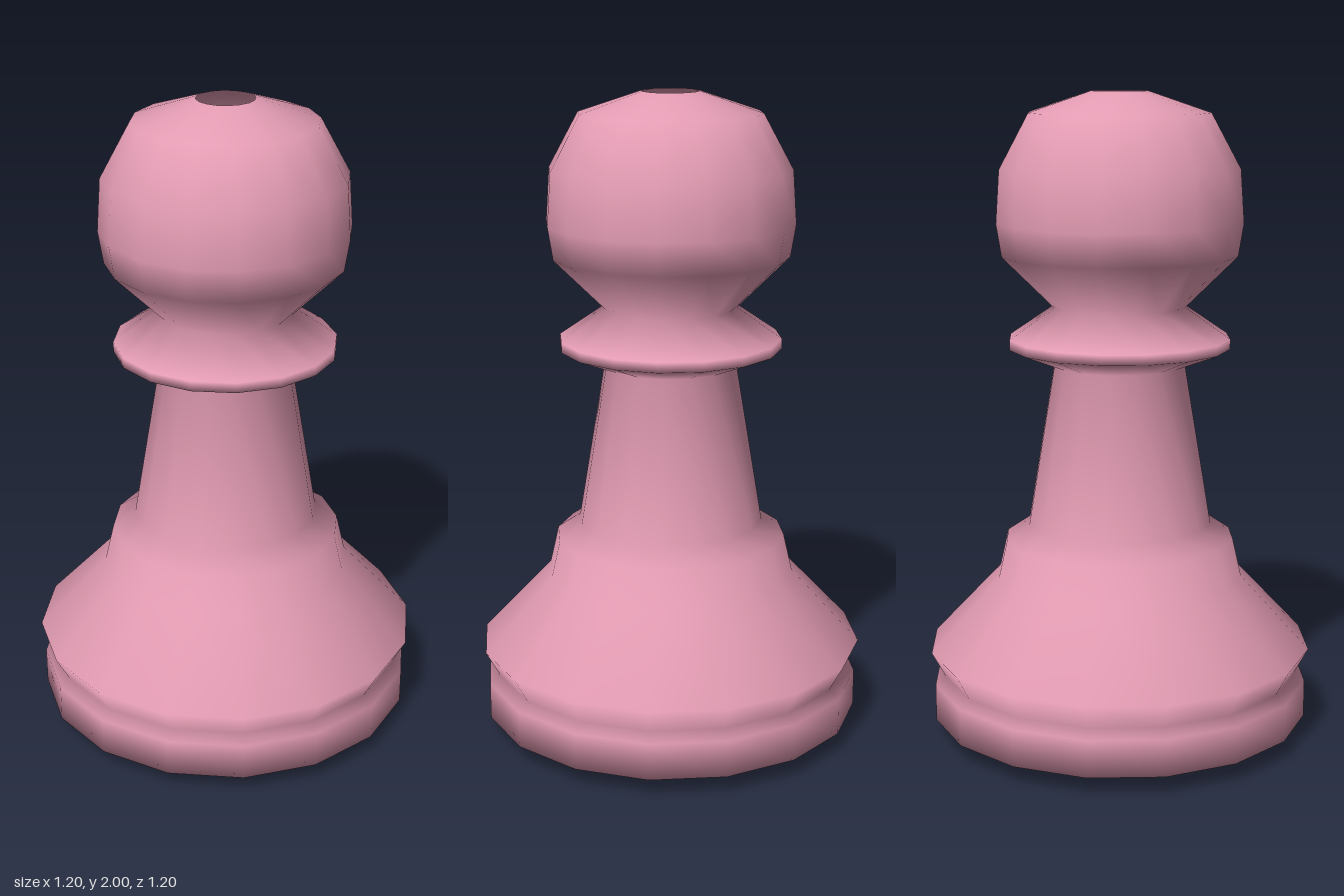
import * as THREE from 'three';

export function createModel() {
  const group = new THREE.Group();
  group.name = 'chessPawn';

  // The shell is open at both ends, so its inside shows too
  const pink = new THREE.MeshStandardMaterial({ color: 0xe29bb2, side: THREE.DoubleSide });
  pink.name = 'dusty pink';

  // Profile as [radius, height], from the underside to the crown
  const profile = [
    [0.02, 0], [0.59, 0.06], [0.59, 0.175], [0.557, 0.2],        // foot
    [0.6, 0.28], [0.385, 0.51], [0.358, 0.627], [0.287, 0.675],  // stepped base
    [0.204, 1.172],                                              // stem
    [0.342, 1.226], [0.342, 1.257], [0.204, 1.352],              // collar
    [0.363, 1.51], [0.379, 1.61], [0.368, 1.771],                // head
    [0.278, 1.936], [0.087, 2],
  ].map(([r, y]) => new THREE.Vector2(r, y));

  // Sixteen-sided turned body
  const body = new THREE.Mesh(new THREE.LatheGeometry(profile, 16), pink);
  body.name = 'pawnBody';
  group.add(body);

  return group;
}
